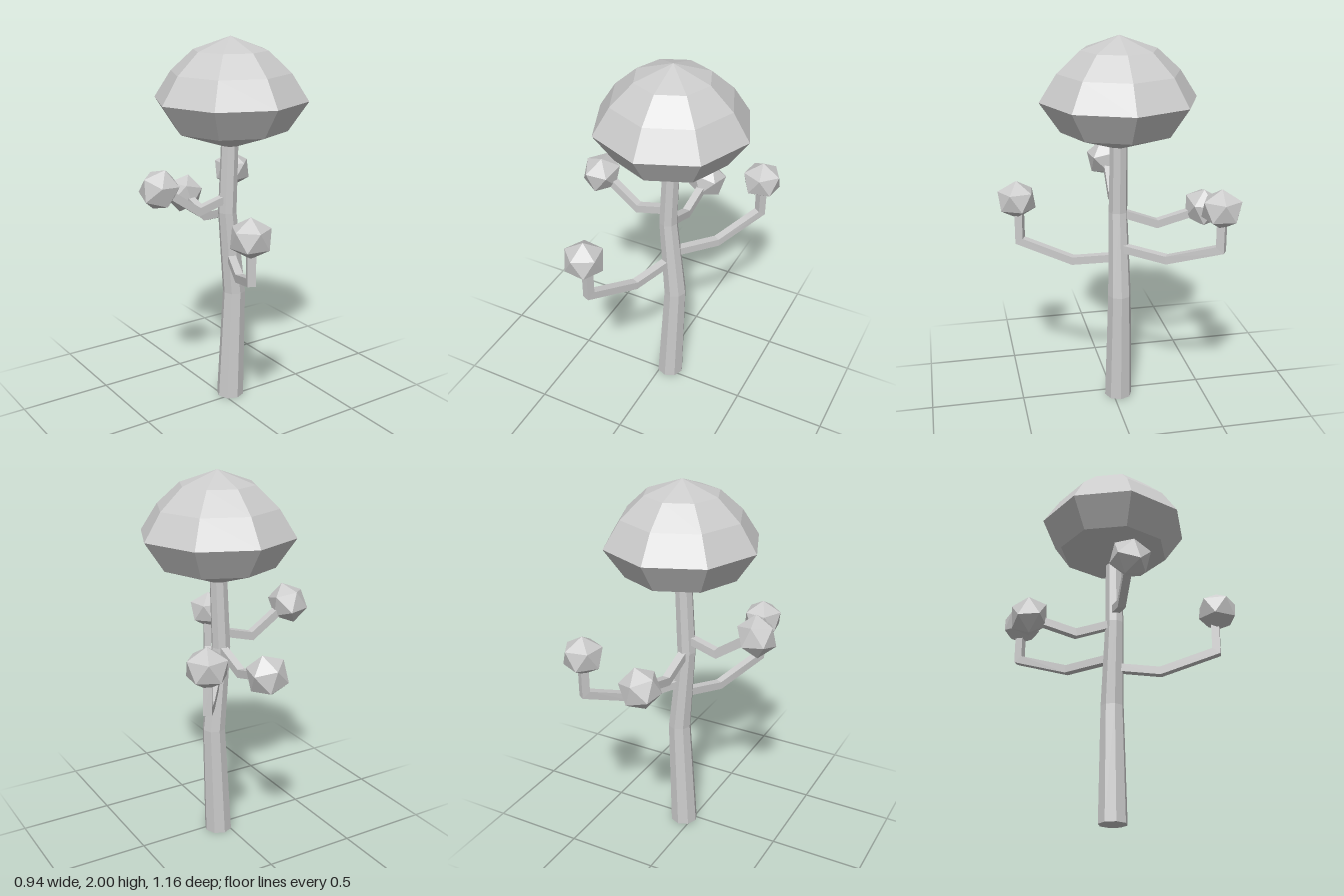
import * as THREE from 'three';

const V = (x, y, z) => new THREE.Vector3(x, y, z);
const material = new THREE.MeshStandardMaterial({ color: 0xcccccc, flatShading: true });

function add(group, geometry, name) {
  const mesh = new THREE.Mesh(geometry, material);
  mesh.name = name;
  group.add(mesh);
  return mesh;
}

// Square bar with mitred bends; its path lies in or near one upright plane.
function barGeometry(path, half) {
  const span = path[path.length - 1].clone().sub(path[0]);
  const side = V(span.z, 0, -span.x).normalize();
  const positions = [], index = [];
  path.forEach((p, i) => {
    const a = p.clone().sub(path[Math.max(i - 1, 0)]).normalize();
    const b = path[Math.min(i + 1, path.length - 1)].clone().sub(p).normalize();
    const tangent = a.clone().add(b).normalize();
    const mitre = 1 / Math.max(tangent.dot(i ? a : b), 0.5);
    const up = tangent.clone().cross(side).normalize();
    for (const [s, u] of [[1, 1], [-1, 1], [-1, -1], [1, -1]]) {
      const c = p.clone().addScaledVector(side, s * half).addScaledVector(up, u * half * mitre);
      positions.push(c.x, c.y, c.z);
    }
    if (i) {
      for (let k = 0; k < 4; k++) {
        const n = (k + 1) % 4, lo = (i - 1) * 4, hi = i * 4;
        index.push(lo + k, lo + n, hi + n, lo + k, hi + n, hi + k);
      }
    }
  });
  const e = (path.length - 1) * 4;
  index.push(0, 2, 1, 0, 3, 2, e, e + 1, e + 2, e, e + 2, e + 3);
  const g = new THREE.BufferGeometry();
  g.setAttribute('position', new THREE.Float32BufferAttribute(positions, 3));
  g.setIndex(index);
  g.computeVertexNormals();
  return g;
}

// Eight-sided trunk, bent and tapered ring by ring.
function trunkGeometry() {
  const rings = [ // y, centre x, radius
    [0, 0.05, 0.075], [0.62, 0.075, 0.062], [1.08, 0.03, 0.05], [1.5, 0.047, 0.046],
  ];
  const g = new THREE.CylinderGeometry(1, 1, rings.length - 1, 8, rings.length - 1);
  const p = g.attributes.position;
  for (let i = 0; i < p.count; i++) {
    const [y, x, r] = rings[Math.round(p.getY(i) + (rings.length - 1) / 2)];
    p.setXYZ(i, x + p.getX(i) * r, y, -0.03 + p.getZ(i) * r);
  }
  g.computeVertexNormals();
  return g;
}

export function createModel() {
  const model = new THREE.Group();
  model.name = 'tree';

  add(model, trunkGeometry(), 'trunk');

  // Faceted dome with a shallow cone underneath
  const profile = [[0, 1.44], [0.05, 1.44], [0.3, 1.525], [0.405, 1.68],
    [0.315, 1.82], [0.195, 1.93], [0, 2]];
  const crown = add(model, new THREE.LatheGeometry(
    profile.map(([r, y]) => new THREE.Vector2(r, y)), 8), 'crown');
  crown.position.set(0.05, 0, -0.03);

  // Icosahedron with one corner pointing up
  const clump = new THREE.IcosahedronGeometry(0.112, 0);
  clump.rotateX(-Math.atan((1 + Math.sqrt(5)) / 2));

  // Bent branches, each ending in a leaf clump that points along axis
  const branches = [
    { name: 'frontRightBranch', centre: V(-0.18, 1.11, 0.48), axis: V(0, 1, 0), yaw: -0.14,
      path: [V(0.05, 0.83, -0.03), V(-0.05, 0.79, 0.2), V(-0.17, 0.88, 0.47), V(-0.17, 1.07, 0.47)] },
    { name: 'backLeftBranch', centre: V(0.37, 1.175, -0.485), axis: V(0, 1, 0), yaw: 0.2,
      path: [V(0.06, 0.89, -0.03), V(0.22, 0.865, -0.25), V(0.37, 0.96, -0.49), V(0.37, 1.13, -0.49)] },
    { name: 'rightBranch', centre: V(-0.375, 1.26, -0.045), axis: V(-0.8, 0.6, 0), yaw: 0,
      path: [V(0.03, 1.16, -0.03), V(-0.15, 1.11, -0.035), V(-0.35, 1.25, -0.045)] },
    { name: 'backBranch', centre: V(0.04, 1.075, -0.49), axis: V(0, 0.45, -0.9), yaw: 0.3,
      path: [V(0.035, 1.08, -0.03), V(0.035, 1, -0.24), V(0.04, 1.06, -0.46)] },
  ];
  for (const { name, centre, axis, yaw, path } of branches) {
    const branch = new THREE.Group();
    branch.name = name;
    add(branch, barGeometry(path, 0.021), 'branchBar');
    const leaves = add(branch, clump, 'leafClump');
    leaves.position.copy(centre);
    leaves.quaternion.setFromUnitVectors(V(0, 1, 0), axis.clone().normalize());
    leaves.rotateY(yaw);
    leaves.scale.y = 0.93;
    model.add(branch);
  }
  return model;
}
